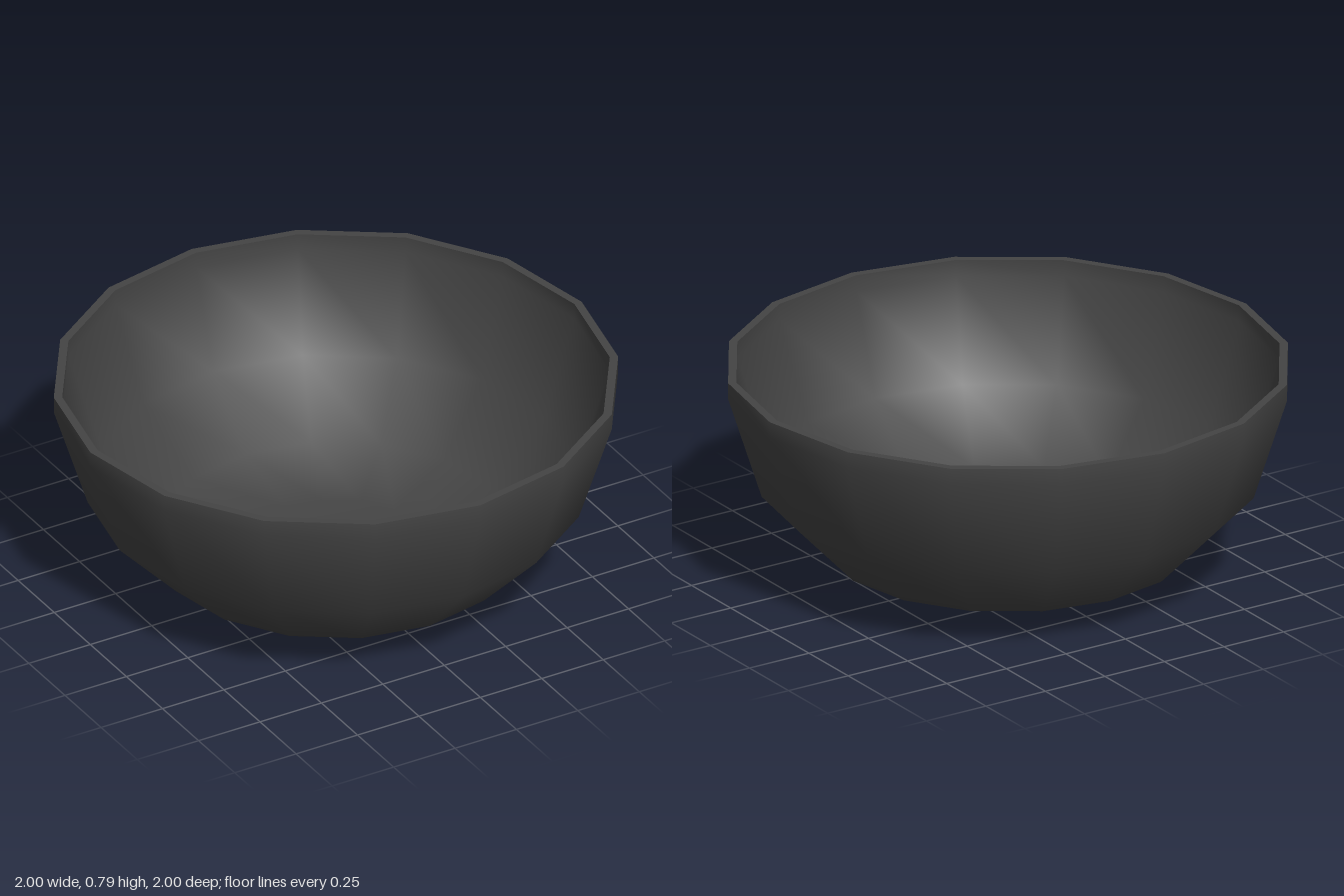
import * as THREE from 'three';
import { toCreasedNormals } from 'three/addons/utils/BufferGeometryUtils.js';

const SIDES = 16;
const material = new THREE.MeshStandardMaterial({ color: 0x444444 });

// Revolve an [radius, height] profile into a 16-sided form with sharp rims
function turned(name, profile, crease) {
  const points = profile.map(([r, y]) => new THREE.Vector2(r, y));
  const geometry = toCreasedNormals(new THREE.LatheGeometry(points, SIDES), crease);
  const mesh = new THREE.Mesh(geometry, material);
  mesh.name = name;
  return mesh;
}

export function createModel() {
  const model = new THREE.Group();
  model.name = 'bowl';

  // Outer wall, flat rim and inner wall down to the floor
  model.add(turned('bowlShell', [
    [0.36, 0.045], [0.42, 0.045], [0.65, 0.11], [0.88, 0.35], [1, 0.73], [1, 0.79],
    [0.97, 0.79], [0.97, 0.73], [0.85, 0.365], [0.63, 0.14], [0.343, 0.075], [0, 0.075],
  ], 0.7));

  // Raised foot ring with a chamfered edge and a recessed underside
  model.add(turned('footRing', [
    [0, 0.04], [0.34, 0.04], [0.343, 0], [0.352, 0], [0.372, 0.015], [0.372, 0.05],
  ], 0.6));

  return model;
}
